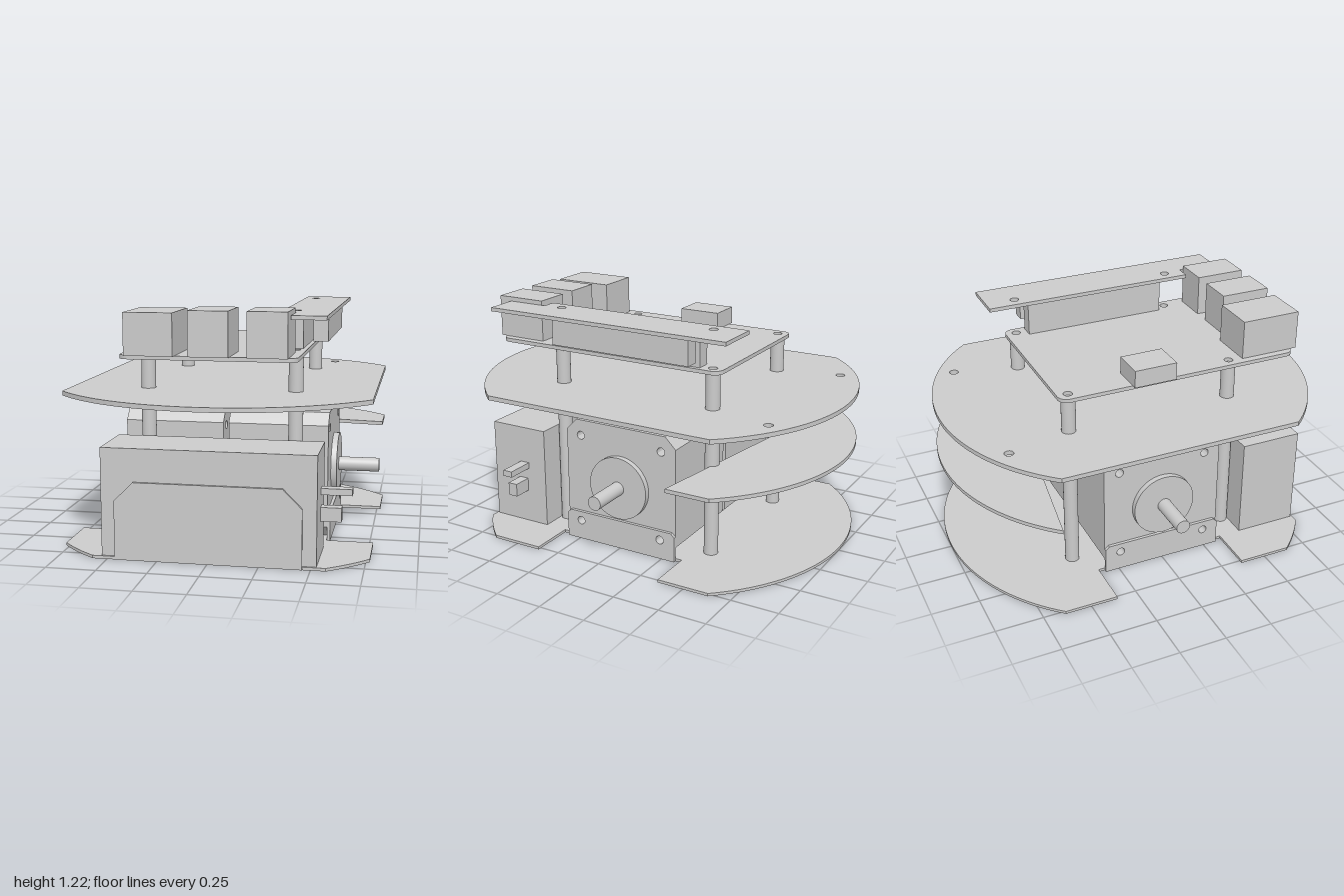
import * as THREE from 'three';
import { toCreasedNormals } from 'three/addons/utils/BufferGeometryUtils.js';

const material = new THREE.MeshStandardMaterial({ color: 0xcccccc });
const A = Math.acos(0.77);   // where the round edge meets the flat sides
const B = Math.asin(0.82);   // where it meets the straight front of the base
const POSTS = [[-0.377, -0.447], [0.377, -0.447], [-0.377, 0.443], [0.377, 0.443]];

export function createModel() {
  const model = new THREE.Group();

  const add = (name, geometry, parent = model) => {
    const mesh = new THREE.Mesh(geometry, material);
    mesh.name = name;
    parent.add(mesh);
    return mesh;
  };

  // Box given by its minimum and maximum on each axis
  const box = (name, [x0, x1], [y0, y1], [z0, z1], parent) =>
    add(name, new THREE.BoxGeometry(x1 - x0, y1 - y0, z1 - z0)
      .translate((x0 + x1) / 2, (y0 + y1) / 2, (z0 + z1) / 2), parent);

  const polygon = (points) => new THREE.Shape(points.map(([x, y]) => new THREE.Vector2(x, y)));

  const drill = (shape, centres, r) => {
    for (const [x, y] of centres) shape.holes.push(new THREE.Path().absarc(x, y, r, 0, Math.PI * 2, true));
    return shape;
  };

  const extrude = (shape, depth) => toCreasedNormals(
    new THREE.ExtrudeGeometry(shape, { depth, bevelEnabled: false, curveSegments: 32 }), 0.5);

  // Horizontal plate: shape drawn in x and z, thickness from y0 to y1
  const plate = (name, shape, y0, y1) =>
    add(name, extrude(shape, y1 - y0).rotateX(Math.PI / 2).translate(0, y1, 0));

  // Upright sheet facing x: shape drawn in z and y, thickness from x0 to x1
  const sideways = (name, shape, x0, x1, parent) =>
    add(name, extrude(shape, x1 - x0).rotateY(-Math.PI / 2).translate(x1, 0, 0), parent);

  // Base plate with wheel notches
  const base = new THREE.Shape();
  base.moveTo(0.53, 0.36);
  base.lineTo(0.77, 0.36);
  base.absarc(0, 0, 1, A, B);
  base.absarc(0, 0, 1, Math.PI - B, Math.PI - A);
  for (const [x, z] of [[-0.77, 0.36], [-0.53, 0.36], [-0.53, -0.36], [-0.77, -0.36]]) base.lineTo(x, z);
  base.absarc(0, 0, 1, Math.PI + A, 2 * Math.PI - A);
  base.lineTo(0.77, -0.36);
  base.lineTo(0.53, -0.36);
  plate('basePlate', drill(base, POSTS, 0.024), 0, 0.015);

  // Folded-up front flap
  const flap = polygon([[-0.46, 0], [0.46, 0], [0.46, 0.295], [0.365, 0.39], [-0.365, 0.39], [-0.46, 0.295]]);
  add('frontFlap', extrude(flap, 0.013).translate(0, 0, 0.81));

  // Rear shelf
  const shelf = new THREE.Shape();
  shelf.moveTo(-0.77, -0.4);
  shelf.absarc(0, 0, 1, Math.PI + A, 2 * Math.PI - A);
  shelf.lineTo(0.77, -0.4);
  plate('rearShelf', shelf, 0.485, 0.505);

  // Upper deck
  const deck = new THREE.Shape();
  deck.absarc(0, 0, 1, A, Math.PI - A);
  deck.absarc(0, 0, 1, Math.PI + A, 2 * Math.PI - A);
  plate('upperDeck', drill(deck, [[-0.46, -0.787], [0.46, -0.787]], 0.024), 0.775, 0.798);

  // Support posts
  for (const [x, z] of POSTS) {
    add('supportPost', new THREE.CylinderGeometry(0.037, 0.037, 0.97, 32).translate(x, 0.5, z));
  }

  // Battery with its two connectors
  box('battery', [-0.528, 0.528], [0.015, 0.555], [0.48, 0.81]);
  box('batterySwitch', [0.528, 0.68], [0.325, 0.357], [0.587, 0.64]);
  box('batterySocket', [0.528, 0.63], [0.195, 0.265], [0.597, 0.65]);

  // Motors, one per side, each with boss, shaft and folded bracket
  for (const side of [1, -1]) {
    const motor = new THREE.Group();
    motor.name = side > 0 ? 'leftMotor' : 'rightMotor';
    const s = 0.325, c = 0.265;
    const body = polygon([[-c, -s], [c, -s], [s, -c], [s, c], [c, s], [-c, s], [-s, c], [-s, -c]]
      .map(([z, y]) => [z, y + 0.34]));
    drill(body, [[-0.24, 0.58], [0.24, 0.58], [-0.24, 0.105], [0.24, 0.105]], 0.022);
    sideways('motorBody', body, 0.014, 0.53, motor);
    const bracket = polygon([[-s, 0], [s, 0], [s, 0.135], [0.305, 0.155], [-0.305, 0.155], [-s, 0.135]]);
    sideways('motorBracket', drill(bracket, [[-0.24, 0.105], [0.24, 0.105]], 0.022), 0.53, 0.546, motor);
    add('motorBoss', new THREE.CylinderGeometry(0.168, 0.168, 0.03, 48)
      .rotateZ(Math.PI / 2).translate(0.545, 0.342, 0), motor);
    add('motorShaft', new THREE.CylinderGeometry(0.037, 0.037, 0.22, 32)
      .rotateZ(Math.PI / 2).translate(0.665, 0.342, 0), motor);
    if (side < 0) motor.rotation.y = Math.PI;
    model.add(motor);
  }

  // Circuit board with rounded corners
  const board = new THREE.Shape();
  const [x0, x1, z0, z1, r] = [-0.433, 0.428, -0.505, 0.805, 0.05];
  board.absarc(x1 - r, z1 - r, r, 0, Math.PI / 2);
  board.absarc(x0 + r, z1 - r, r, Math.PI / 2, Math.PI);
  board.absarc(x0 + r, z0 + r, r, Math.PI, Math.PI * 1.5);
  board.absarc(x1 - r, z0 + r, r, Math.PI * 1.5, Math.PI * 2);
  plate('circuitBoard', drill(board, POSTS, 0.023), 0.985, 1.005);

  // Ports on the board
  box('networkPort', [-0.395, -0.157], [1.005, 1.21], [0.515, 0.835]);
  box('middlePort', [-0.085, 0.108], [1.005, 1.222], [0.565, 0.835]);
  box('leftPort', [0.195, 0.387], [1.005, 1.222], [0.565, 0.835]);
  box('powerPort', [-0.46, -0.285], [1.005, 1.097], [-0.125, 0.103]);

  // Raised side board, notched beside the left port, and its pin headers
  const strip = polygon([[0.312, -0.605], [0.558, -0.605], [0.558, 0.763], [0.39, 0.763], [0.39, 0.545], [0.312, 0.545]]);
  plate('sideBoard', drill(strip, [POSTS[1], POSTS[3]], 0.023), 1.18, 1.2);
  box('innerHeader', [0.33, 0.405], [1.005, 1.18], [-0.388, 0.39]);
  box('outerHeader', [0.455, 0.53], [1.043, 1.18], [-0.392, 0.397]);

  return model;
}
